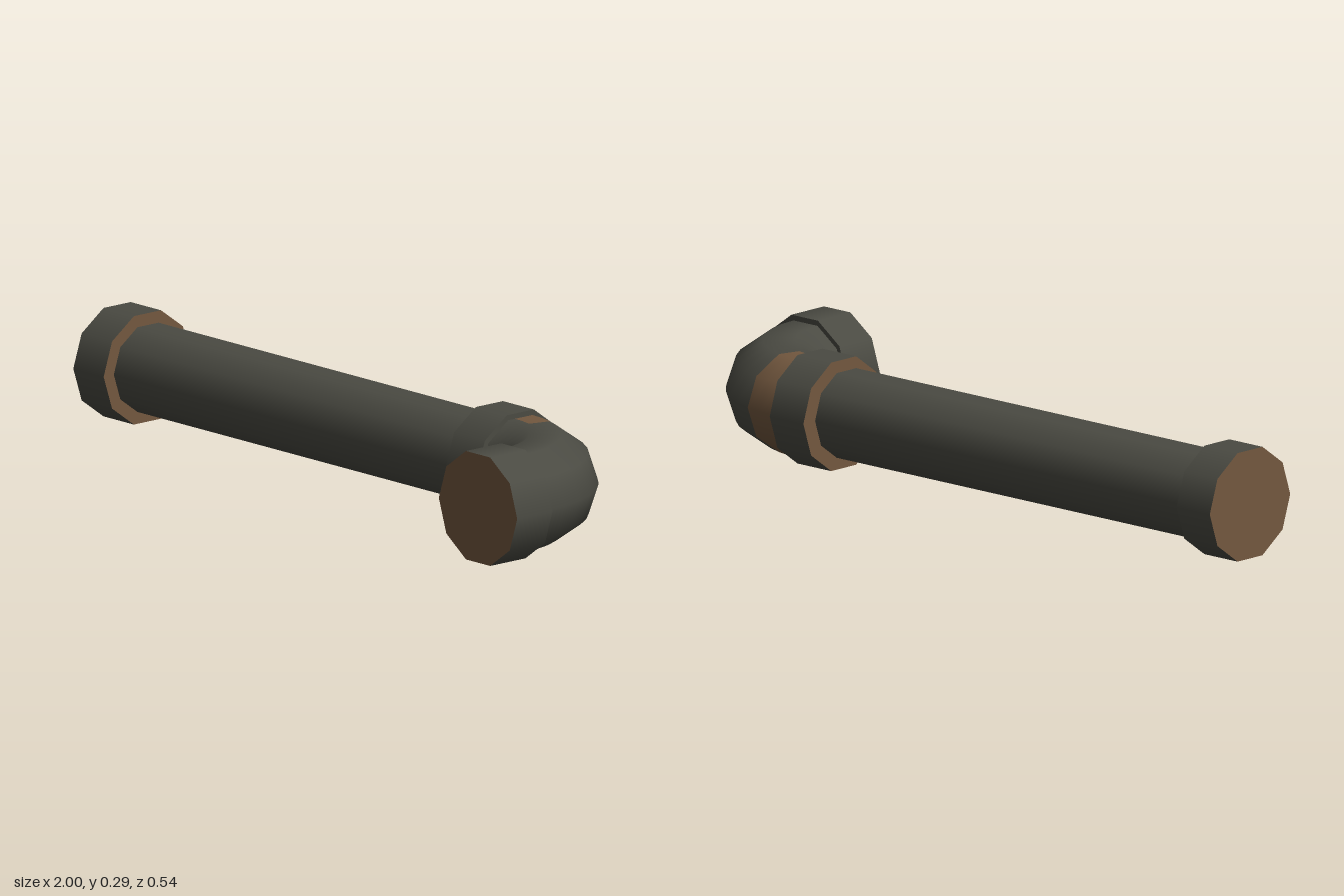
import * as THREE from 'three';

const SIDES = 10;
const STEP = (2 * Math.PI) / SIDES;
const CENTRE_Y = 0.1475;

const iron = new THREE.MeshStandardMaterial({ color: 0x4b4b43 });
iron.name = 'dark iron';
const rust = new THREE.MeshStandardMaterial({ color: 0x73583f });
rust.name = 'rust brown';

// Ten-sided cylinder along x; first cap faces -x, second faces +x
function alongX(name, x0, x1, z, radius, materials) {
  const geo = new THREE.CylinderGeometry(radius, radius, x1 - x0, SIDES);
  geo.rotateZ(Math.PI / 2);
  const mesh = new THREE.Mesh(geo, materials);
  mesh.position.set((x0 + x1) / 2, CENTRE_Y, z);
  mesh.name = name;
  return mesh;
}

// Part of the quarter bend: sweep angles a0..a1, section angles in degrees (0 = outer side)
const BEND = { x: 0.58, z: 0.145, radius: 0.262, tube: 0.14 };
function bendPart(name, a0, a1, rings, angles, material) {
  const pos = [], nor = [], idx = [];
  const n = angles.length;
  for (let i = 0; i <= rings; i++) {
    const a = THREE.MathUtils.degToRad(a0 + ((a1 - a0) * i) / rings);
    const dx = Math.sin(a), dz = -Math.cos(a);
    for (const deg of angles) {
      const t = THREE.MathUtils.degToRad(deg);
      // distance to the edge of the ten-sided section
      const off = t - (Math.floor(t / STEP + 1e-6) + 0.5) * STEP;
      const r = (BEND.tube * Math.cos(STEP / 2)) / Math.cos(off);
      const d = BEND.radius + r * Math.cos(t);
      pos.push(BEND.x + dx * d, CENTRE_Y + r * Math.sin(t), BEND.z + dz * d);
      nor.push(dx * Math.cos(t), Math.sin(t), dz * Math.cos(t));
    }
  }
  for (let i = 0; i < rings; i++) {
    for (let j = 0; j < n - 1; j++) {
      const p = i * n + j, q = p + n;
      idx.push(p, p + 1, q, q, p + 1, q + 1);
    }
  }
  const geo = new THREE.BufferGeometry();
  geo.setAttribute('position', new THREE.Float32BufferAttribute(pos, 3));
  geo.setAttribute('normal', new THREE.Float32BufferAttribute(nor, 3));
  geo.setIndex(idx);
  const mesh = new THREE.Mesh(geo, material);
  mesh.name = name;
  return mesh;
}

export function createModel() {
  const group = new THREE.Group();
  group.name = 'pipe';

  // Straight run and its two collars
  group.add(alongX('straightPipe', -0.95, 0.52, -0.106, 0.121, iron));
  group.add(alongX('endCollar', -1, -0.88, -0.104, 0.155, [iron, rust, rust]));
  group.add(alongX('elbowCollar', 0.458, 0.58, -0.117, 0.155, [iron, rust, iron]));

  // Elbow: rusty patch on the outer side of the first stretch
  const patch = [-98, -72, -36, 0, 36, 72, 98];
  const inner = [98, 108, 144, 180, 216, 252, 262];
  const full = Array.from({ length: SIDES + 1 }, (_, i) => i * 36);
  group.add(bendPart('elbowRustPatch', 0, 15.5, 2, patch, rust));
  group.add(bendPart('elbowStartInner', 0, 15.5, 2, inner, iron));
  group.add(bendPart('elbow', 15.5, 90, 8, full, iron));

  // Front collar along z
  const geo = new THREE.CylinderGeometry(0.155, 0.155, 0.125, SIDES, 1, false, Math.PI / 2);
  geo.rotateX(Math.PI / 2);
  const front = new THREE.Mesh(geo, [iron, rust, iron]);
  front.position.set(0.845, CENTRE_Y, 0.2075);
  front.name = 'frontCollar';
  group.add(front);

  return group;
}
